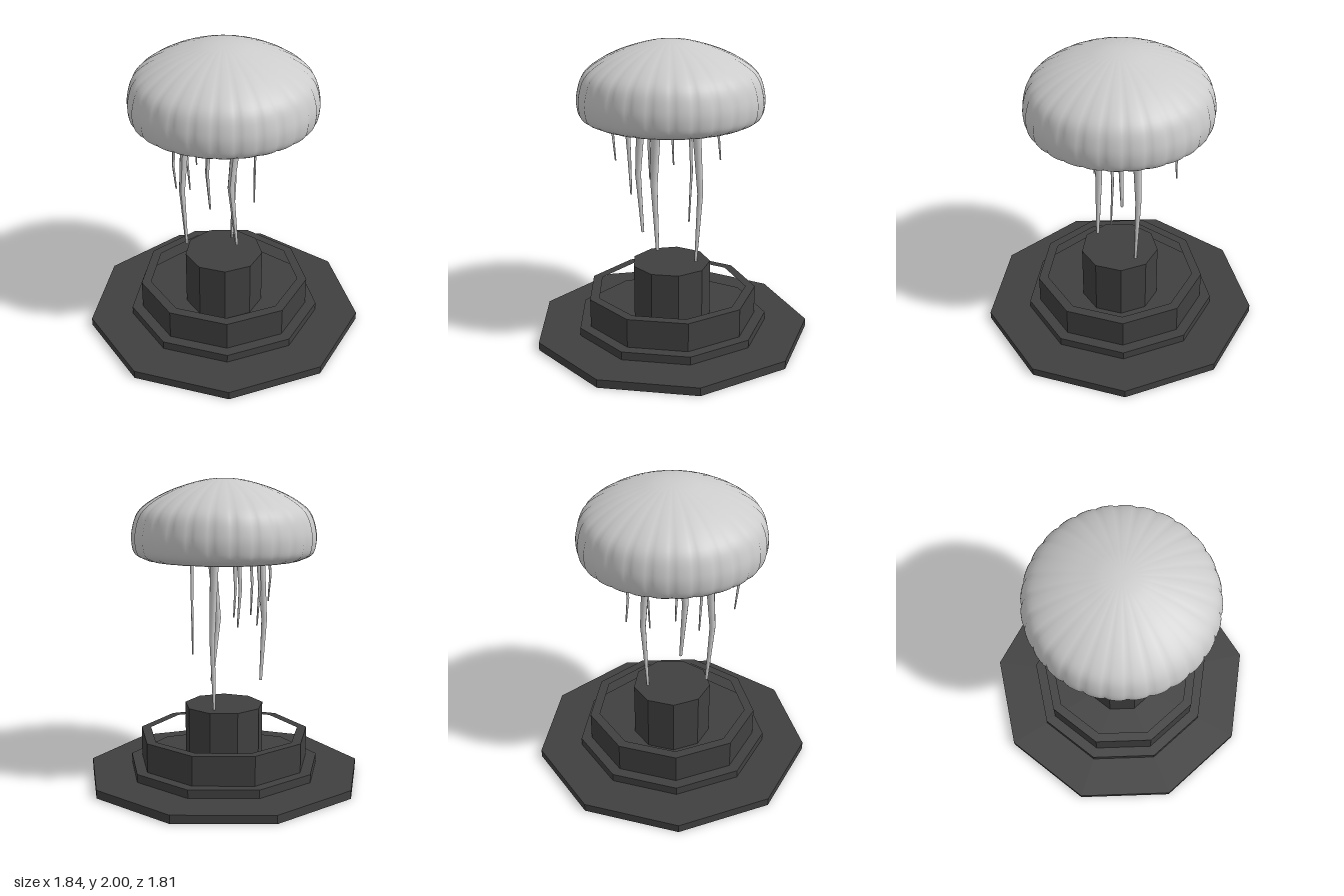
import * as THREE from 'three';
import { mergeVertices } from 'three/addons/utils/BufferGeometryUtils.js';

const CZ = 0.024; // z of the central axis
const SIDES = 9;
const RIBS = 28;

const stone = new THREE.MeshStandardMaterial({ color: 0x404040, flatShading: true });
const flesh = new THREE.MeshStandardMaterial({ color: 0xcccccc, side: THREE.DoubleSide });

function add(group, name, geometry, material) {
  const mesh = new THREE.Mesh(geometry, material);
  mesh.name = name;
  group.add(mesh);
  return mesh;
}

// Nine-sided slab with a corner pointing to the back
function slab(group, name, radius, y0, y1) {
  const geo = new THREE.CylinderGeometry(radius, radius, y1 - y0, SIDES);
  geo.rotateY(Math.PI);
  geo.translate(0, (y0 + y1) / 2, CZ);
  add(group, name, geo, stone);
}

// Nine-sided path for the basin wall
function polygon(target, radius) {
  const pts = [];
  for (let i = 0; i < SIDES; i++) {
    const a = (i / SIDES) * Math.PI * 2;
    pts.push(new THREE.Vector2(radius * Math.sin(a), radius * Math.cos(a)));
  }
  return target.setFromPoints(pts);
}

// Removes the seam so that the shading is smooth all round
function weld(geo) {
  geo.deleteAttribute('uv');
  geo.deleteAttribute('normal');
  const welded = mergeVertices(geo, 1e-4);
  welded.computeVertexNormals();
  return welded;
}

// Hollow ribbed bell: inner dome, rolled rim, outer dome
function bellGeometry() {
  const outer = new THREE.SplineCurve([
    [0.515, 1.483], [0.58, 1.517], [0.602, 1.58], [0.6, 1.67], [0.562, 1.78],
    [0.47, 1.86], [0.33, 1.93], [0.17, 1.98], [0.07, 1.997], [0, 2],
  ].map(([x, y]) => new THREE.Vector2(x, y))).getPoints(36);
  const inner = [
    [0, 1.94], [0.17, 1.92], [0.33, 1.87], [0.45, 1.8], [0.52, 1.72],
    [0.545, 1.62], [0.53, 1.55], [0.5, 1.495],
  ].map(([x, y]) => new THREE.Vector2(x, y));
  const profile = [...inner, ...outer];
  profile.forEach((p) => { p.x = Math.max(p.x, 0); });
  const geo = new THREE.LatheGeometry(profile, RIBS * 6);
  // Narrow grooves between the ribs
  const pos = geo.attributes.position;
  for (let i = 0; i < pos.count; i++) {
    const x = pos.getX(i), z = pos.getZ(i);
    const a = Math.atan2(x, z);
    const k = 1 - 0.016 * Math.pow(1 - Math.abs(Math.sin((a * RIBS) / 2)), 2);
    pos.setX(i, x * k);
    pos.setZ(i, z * k);
  }
  return weld(geo).translate(0, 0, CZ);
}

// Tapered arm bent at a knee; points are [x, y, z] for top, knee and tip
function tentacleGeometry(points, rTop, rTip) {
  const geo = new THREE.CylinderGeometry(rTop, rTip, 2, 8, 2);
  const pos = geo.attributes.position;
  for (let i = 0; i < pos.count; i++) {
    const [x, y, z] = points[Math.round(1 - pos.getY(i))];
    pos.setXYZ(i, pos.getX(i) + x, y, pos.getZ(i) + z);
  }
  geo.computeVertexNormals();
  return geo;
}

export function createModel() {
  const model = new THREE.Group();
  model.name = 'jellyfishFountain';

  // Stepped base
  const base = new THREE.Group();
  base.name = 'base';
  model.add(base);
  slab(base, 'basePlate', 0.933, 0, 0.055);
  slab(base, 'baseStep', 0.648, 0.055, 0.11);
  slab(base, 'pillar', 0.265, 0.11, 0.497);

  // Open basin wall
  const wall = polygon(new THREE.Shape(), 0.575);
  wall.holes.push(polygon(new THREE.Path(), 0.51));
  const wallGeo = new THREE.ExtrudeGeometry(wall, { depth: 0.195, bevelEnabled: false });
  wallGeo.rotateX(-Math.PI / 2);
  wallGeo.translate(0, 0.11, CZ);
  add(base, 'basinWall', wallGeo, stone);

  // Bell and the flat underside within it
  add(model, 'bell', bellGeometry(), flesh);
  const disk = new THREE.CylinderGeometry(0.44, 0.44, 0.015, 56);
  disk.translate(0, 1.515, CZ);
  add(model, 'underside', disk, flesh);

  // Tentacles: top, knee, tip, top radius, tip radius
  const tentacles = [
    [[-0.19, 1.468, 0.22], [-0.21, 1.05, 0.245], [-0.197, 0.635, 0.217], 0.03, 0.01],
    [[0.125, 1.51, 0.12], [0.085, 1.06, 0.135], [0.12, 0.625, 0.115], 0.034, 0.011],
    [[0.005, 1.475, -0.14], [0.01, 0.98, -0.17], [0.005, 0.49, -0.143], 0.03, 0.009],
    [[0, 1.51, 0.31], [-0.02, 1.24, 0.297], [-0.005, 0.975, 0.287], 0.019, 0.006],
    [[0.18, 1.51, -0.095], [0.175, 1.18, -0.105], [0.178, 0.845, -0.09], 0.012, 0.005],
    [[-0.19, 1.51, 0.4], [-0.2, 1.33, 0.41], [-0.19, 1.155, 0.395], 0.012, 0.005],
    [[-0.19, 1.51, 0.16], [-0.2, 1.27, 0.17], [-0.185, 1.02, 0.163], 0.014, 0.005],
    [[-0.195, 1.51, 0.005], [-0.2, 1.32, 0.01], [-0.195, 1.12, 0.003], 0.012, 0.005],
    [[-0.19, 1.51, -0.31], [-0.195, 1.33, -0.3], [-0.19, 1.155, -0.315], 0.012, 0.005],
  ];
  const arms = new THREE.Group();
  arms.name = 'tentacles';
  model.add(arms);
  for (const [top, knee, tip, rTop, rTip] of tentacles) {
    add(arms, 'tentacle', tentacleGeometry([top, knee, tip], rTop, rTip), flesh);
  }

  return model;
}
